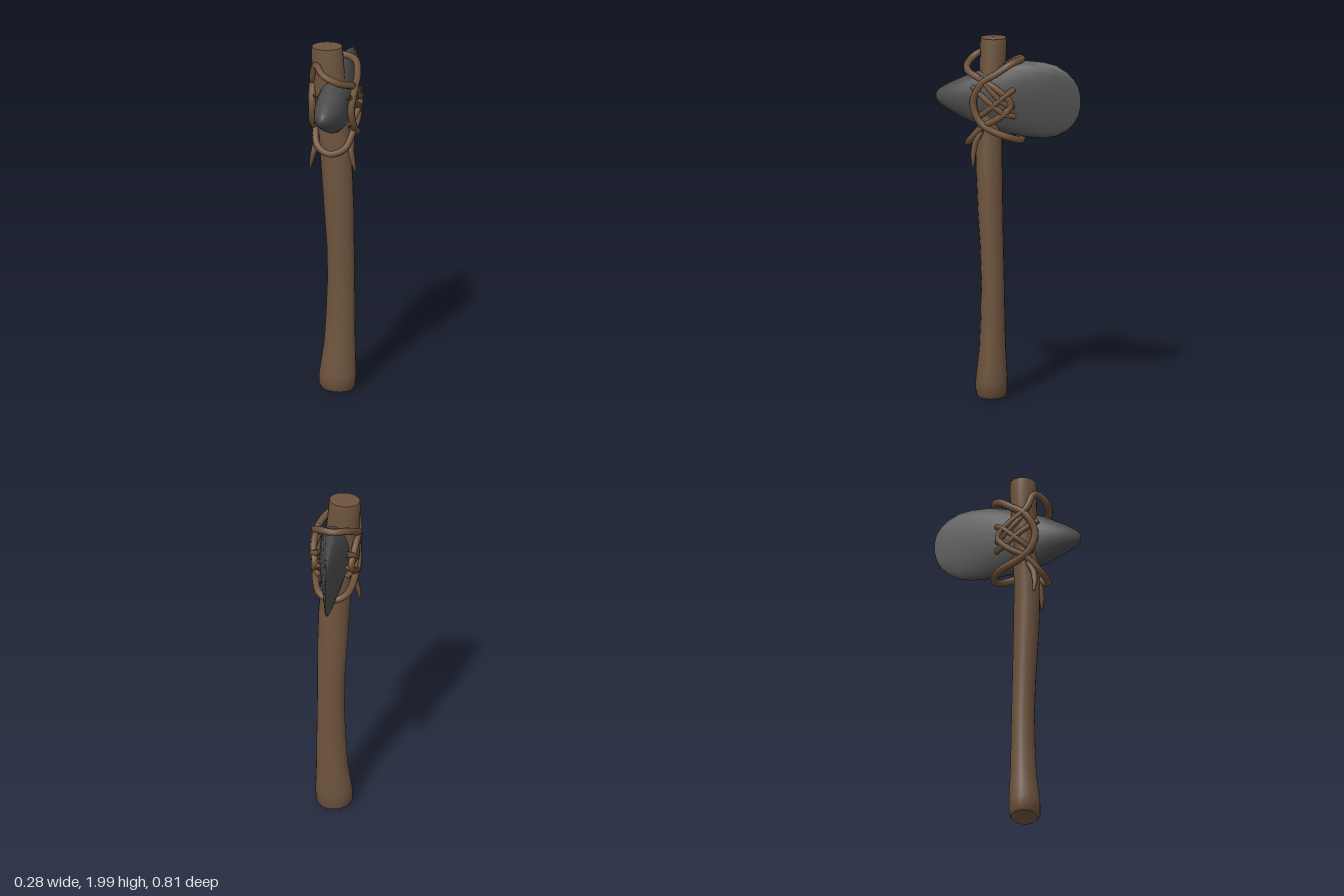
import * as THREE from 'three';
import { toCreasedNormals } from 'three/addons/utils/BufferGeometryUtils.js';

const V = (x, y, z) => new THREE.Vector3(x, y, z);

// Skin a stack of closed rings, each an array of points in counter-clockwise order about the travel direction
function loft(rings, crease) {
  const n = rings[0].length, pos = [], idx = [];
  rings.forEach(r => r.forEach(p => pos.push(p.x, p.y, p.z)));
  for (let i = 0; i < rings.length - 1; i++) {
    for (let j = 0; j < n; j++) {
      const a = i * n + j, b = i * n + (j + 1) % n;
      idx.push(a, b, b + n, a, b + n, a + n);
    }
  }
  const g = new THREE.BufferGeometry();
  g.setAttribute('position', new THREE.Float32BufferAttribute(pos, 3));
  g.setIndex(idx);
  g.computeVertexNormals();
  return crease ? toCreasedNormals(g, crease) : g;
}

const ringOf = (n, f) => Array.from({ length: n }, (_, j) => {
  const t = j / n * Math.PI * 2;
  return f(Math.cos(t), Math.sin(t));
});

export function createModel() {
  const model = new THREE.Group();
  const wood = new THREE.MeshStandardMaterial({ name: 'wood', color: 0x6e543e });
  const stone = new THREE.MeshStandardMaterial({ name: 'stone', color: 0x4b4b4b });
  const cord = new THREE.MeshStandardMaterial({ name: 'cord', color: 0x6c5038 });
  const add = (name, geometry, material) => {
    const m = new THREE.Mesh(geometry, material);
    m.name = name;
    model.add(m);
    return m;
  };

  // Curved handle: y, min x, max x, min z, max z
  const handleRows = [
    [0.01, 0.005, 0.005, 0.09, 0.09], [0.01, -0.08, 0.09, 0.015, 0.165],
    [0.03, -0.093, 0.105, 0.007, 0.176], [0.1, -0.094, 0.112, 0.004, 0.176],
    [0.18, -0.082, 0.108, 0.006, 0.166], [0.28, -0.068, 0.105, 0.01, 0.154],
    [0.45, -0.058, 0.103, 0.013, 0.146], [0.65, -0.05, 0.1, 0.016, 0.142],
    [0.85, -0.053, 0.1, 0.021, 0.149], [1.05, -0.065, 0.1, 0.026, 0.163],
    [1.25, -0.076, 0.095, 0.031, 0.173], [1.42, -0.087, 0.085, 0.034, 0.176],
    [1.6, -0.108, 0.07, 0.032, 0.172], [1.8, -0.13, 0.052, 0.025, 0.166],
    [1.96, -0.137, 0.038, 0.02, 0.165], [1.99, -0.134, 0.034, 0.024, 0.162],
    [1.997, -0.05, -0.05, 0.093, 0.093],
  ];
  const handleRings = handleRows.map(([y, x0, x1, z0, z1]) => ringOf(20, (c, s) => {
    const u = c * (x1 - x0) / 2;
    // the two ends are cut at a slight slant
    const slant = y < 0.05 ? -0.05 * u : y > 1.9 ? 0.035 * u : 0;
    return V((x0 + x1) / 2 + u, y + slant, (z0 + z1) / 2 - s * (z1 - z0) / 2);
  }));
  add('handle', loft(handleRings, 0.7), wood);

  // Stone head: z, half width, bottom y, top y; blade edge at the back, blunt poll in front
  const headRows = [
    [-0.405, 0.001, 1.63, 1.7], [-0.395, 0.003, 1.585, 1.745], [-0.37, 0.008, 1.54, 1.785],
    [-0.33, 0.016, 1.5, 1.825], [-0.27, 0.028, 1.467, 1.86], [-0.2, 0.042, 1.453, 1.876],
    [-0.1, 0.062, 1.455, 1.88], [0, 0.078, 1.47, 1.862], [0.1, 0.086, 1.495, 1.835],
    [0.2, 0.086, 1.525, 1.8], [0.27, 0.078, 1.557, 1.766], [0.33, 0.062, 1.59, 1.737],
    [0.375, 0.04, 1.615, 1.71], [0.398, 0.02, 1.64, 1.688], [0.405, 0.0005, 1.663, 1.664],
  ];
  const headRings = headRows.map(([z, w, y0, y1]) => ringOf(24, (c, s) =>
    V(c * w, (y0 + y1) / 2 + s * (y1 - y0) / 2, z)));
  add('stoneHead', loft(headRings), stone);

  // Lashing: closed loops that cross on both cheeks of the head
  const rope = (name, pts, radius, closed) => add(name, new THREE.TubeGeometry(
    new THREE.CatmullRomCurve3(pts.map(p => V(...p)), closed, 'centripetal'),
    closed ? 72 : 20, radius, 8, closed), cord);

  rope('frontLoop', [
    [-0.095, 1.9, 0.165], [-0.04, 1.865, 0.22], [0.045, 1.825, 0.218], [0.1, 1.785, 0.13],
    [0.112, 1.73, 0.03], [0.098, 1.65, -0.04], [0.108, 1.58, 0.02], [0.104, 1.52, 0.12],
    [0.075, 1.44, 0.195], [0, 1.412, 0.222], [-0.075, 1.44, 0.195], [-0.108, 1.52, 0.12],
    [-0.112, 1.58, 0.02], [-0.1, 1.65, -0.04], [-0.115, 1.73, 0.03], [-0.124, 1.8, 0.12],
  ], 0.019, true);
  rope('backLoop', [
    [0, 1.885, -0.075], [0.075, 1.875, -0.04], [0.108, 1.82, 0.04], [0.112, 1.765, 0.12],
    [0.105, 1.66, 0.17], [0.11, 1.56, 0.14], [0.11, 1.51, 0.08], [0.075, 1.46, -0.04],
    [0, 1.44, -0.075], [-0.075, 1.46, -0.04], [-0.11, 1.51, 0.08], [-0.118, 1.56, 0.14],
    [-0.115, 1.66, 0.17], [-0.125, 1.765, 0.12], [-0.115, 1.82, 0.04], [-0.075, 1.875, -0.04],
  ], 0.02, true);

  for (const s of [1, -1]) {
    const side = s > 0 ? 'left' : 'right';
    // Lattice strands across each cheek
    rope(side + 'LatticeFalling', [[s * 0.09, 1.74, 0.18], [s * 0.118, 1.67, 0.09],
      [s * 0.108, 1.6, 0.0], [s * 0.07, 1.58, -0.055]], 0.016, false);
    rope(side + 'LatticeRising', [[s * 0.09, 1.56, 0.16], [s * 0.118, 1.63, 0.07],
      [s * 0.112, 1.7, -0.01], [s * 0.07, 1.73, -0.05]], 0.016, false);
    rope(side + 'LatticeUpper', [[s * 0.1, 1.8, 0.13], [s * 0.122, 1.74, 0.08],
      [s * 0.113, 1.66, 0.0], [s * 0.075, 1.63, -0.05]], 0.015, false);

    // Loose cord end tapering to a point: x, y, z, radius
    const tail = [[0.095, 1.5, 0.12, 0.005], [0.097, 1.49, 0.13, 0.018], [0.1, 1.43, 0.16, 0.018],
      [0.113, 1.37, 0.168, 0.015], [0.127, 1.305, 0.165, 0.006], [0.128, 1.3, 0.165, 0.0005]];
    add(side + 'CordEnd', loft(tail.map(([x, y, z, r]) => ringOf(8, (c, q) =>
      V(s * x + c * r, y, z + q * r)))), cord);
  }
  return model;
}
